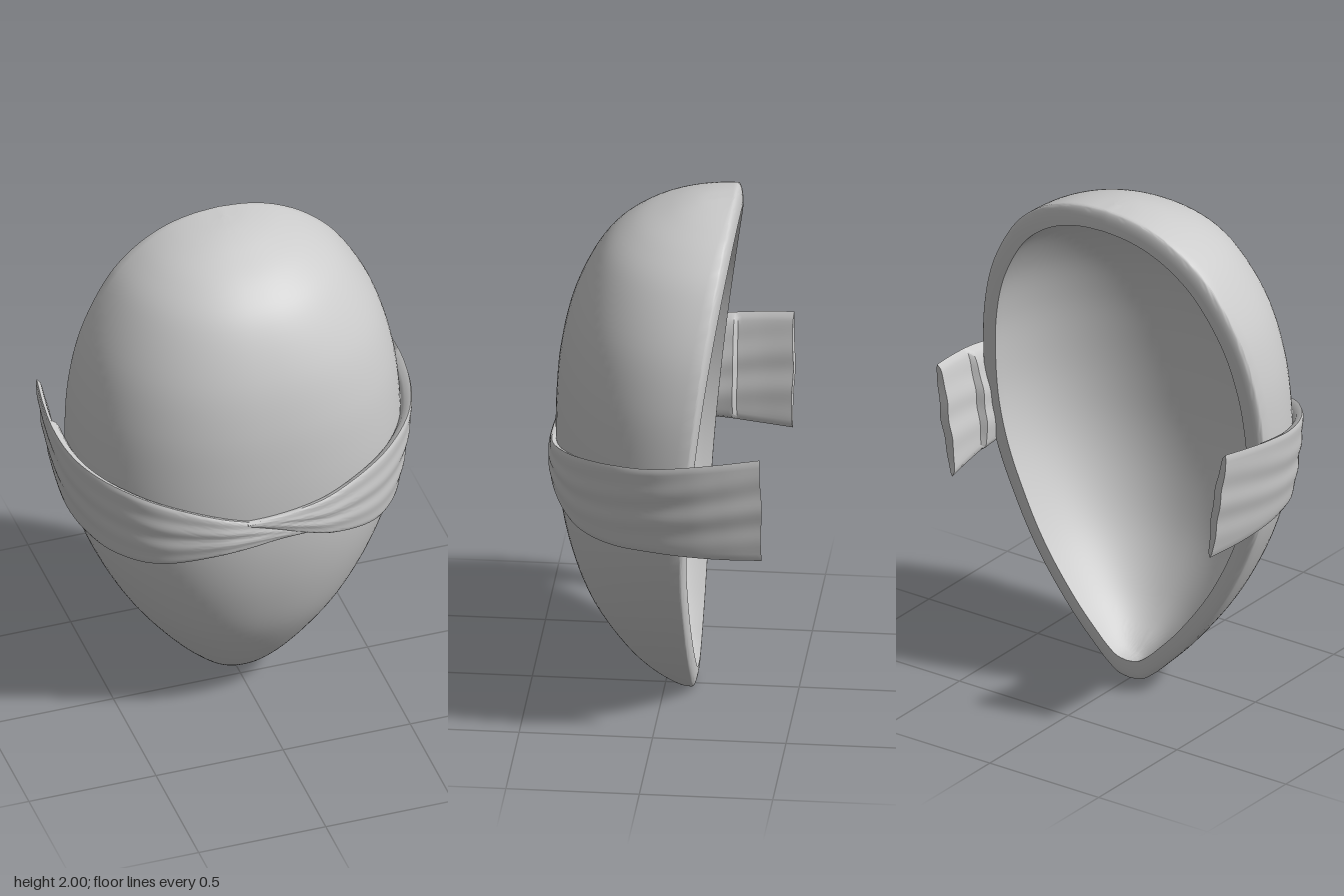
import * as THREE from 'three';
import { toCreasedNormals } from 'three/addons/utils/BufferGeometryUtils.js';

const V = (x, y, z) => new THREE.Vector3(x, y, z);

// Skin a list of closed loops into one mesh
function loft(name, rows, crease) {
  const n = rows[0].length, index = [];
  for (let i = 0; i < rows.length - 1; i++) {
    for (let j = 0; j < n; j++) {
      const a = i * n + j, b = i * n + (j + 1) % n;
      index.push(a, a + n, b, b, a + n, b + n);
    }
  }
  const geo = new THREE.BufferGeometry().setFromPoints(rows.flat());
  geo.setIndex(index);
  const mesh = new THREE.Mesh(toCreasedNormals(geo, crease),
    new THREE.MeshStandardMaterial({ color: 0xcccccc, side: THREE.DoubleSide }));
  mesh.name = name;
  return mesh;
}

// Hollow face shell: slightly squared half-oval sections, rim rolled over to a crisp inner edge
function faceShell() {
  // half width, height, front depth
  const profile = new THREE.CatmullRomCurve3([
    [0, 0, -0.085], [0.05, 0.008, -0.05], [0.1, 0.04, 0], [0.165, 0.1, 0.075],
    [0.262, 0.2, 0.16], [0.415, 0.4, 0.28], [0.525, 0.6, 0.35], [0.602, 0.8, 0.39],
    [0.64, 1, 0.405], [0.643, 1.2, 0.405], [0.622, 1.4, 0.388], [0.565, 1.6, 0.34],
    [0.448, 1.8, 0.237], [0.34, 1.9, 0.125], [0.22, 1.963, -0.01], [0.11, 1.991, -0.11],
    [0, 2, -0.2],
  ].map(p => V(...p)));
  const rimZ = y => -0.103 - 0.152 * Math.max(0, (y - 0.6) / 1.4) ** 1.5;
  const full = c => Math.sign(c) * Math.abs(c) ** 0.93;
  const ROWS = 90, ARC = 48, RIM = 8, ROLL = 0.022, rows = [];
  for (let i = 0; i <= ROWS; i++) {
    const { x: w, y, z: front } = profile.getPoint(i / ROWS);
    const back = rimZ(y), depth = front - back;
    const outer = a => V(w * full(Math.cos(a)), y, back + depth * full(Math.sin(a)));
    const inner = a => V(0.89 * w * full(Math.cos(a)), 1 + (y - 1) * 0.92,
      back - ROLL + (0.875 * depth + ROLL) * full(Math.sin(a)));
    const rim = (from, to) => {
      const pts = [];
      for (let k = 1; k < RIM; k++) {
        const a = Math.PI / 2 * k / RIM;
        const p = from.clone().lerp(to, 1 - Math.cos(a));
        p.z = back - ROLL * Math.sin(a);
        pts.push(p);
      }
      return pts;
    };
    const arc = f => Array.from({ length: ARC + 1 },
      (_, j) => f(j === ARC ? Math.PI - 1e-9 : Math.PI * j / ARC));
    const out = arc(outer), inn = arc(inner).reverse();
    rows.push([...out, ...rim(out[ARC], inn[0]), ...inn, ...rim(out[0], inn[ARC]).reverse()]);
  }
  return loft('faceShell', rows, 0.75);
}

// One half of the cloth band, from its tucked tip at the front to the loose end
function clothBand(name, side, stations) {
  const path = new THREE.CatmullRomCurve3(stations.map(s => V(s[0], 0, s[1])));
  const edges = new THREE.CatmullRomCurve3(stations.map(s => V(s[0], s[2], s[3])));
  const STEPS = 90, ACROSS = 28, EDGE = 0.012, rows = [];
  const row = (t, closed) => {
    const p = path.getPoint(t), d = path.getTangent(t), e = edges.getPoint(t);
    // padded against the shell, thinner on the loose end
    const thick = p.z > -0.2 ? 0.045 + 0.02 * t : 0.035, loop = [];
    const point = (v, inside) => {
      const body = closed ? 0 : Math.sin(Math.PI * v) ** 0.35;
      // soft folds running along the cloth
      const fold = 0.003 * Math.min(1, t * 4) * Math.sin(v * 19 + 2.5 * Math.sin(t * 4))
        * Math.sin(Math.PI * v);
      const off = fold - (inside ? EDGE + (thick - EDGE) * body : EDGE * (1 - body));
      const y = e.z + (e.y - e.z) * v;
      const lean = 1 + 0.25 * (y - 1);
      const fray = 0.003 * Math.sin(v * 9) * t ** 8;
      return V(side * (p.x - d.z * off) * lean, y, p.z + d.x * off + fray);
    };
    for (let j = 0; j <= ACROSS; j++) loop.push(point(j / ACROSS, false));
    for (let j = ACROSS - 1; j > 0; j--) loop.push(point(j / ACROSS, true));
    return loop;
  };
  rows.push(row(0, true));
  for (let i = 0; i <= STEPS; i++) rows.push(row(i / STEPS, false));
  rows.push(row(1, true));
  if (side < 0) rows.reverse();
  return loft(name, rows, 0.8);
}

export function createModel() {
  const group = new THREE.Group();
  group.name = 'maskWithBand';
  group.add(faceShell());

  // Shared wrap round the side: x, z, top edge, bottom edge
  const wrap = [
    [0.405, 0.338, 1.115, 0.84], [0.51, 0.26, 1.145, 0.82], [0.605, 0.135, 1.17, 0.814],
    [0.654, -0.01, 1.185, 0.814], [0.667, -0.15, 1.205, 0.806], [0.658, -0.28, 1.22, 0.797],
    [0.637, -0.42, 1.235, 0.79],
  ];
  group.add(clothBand('leftBand', 1, [
    [-0.11, 0.423, 1.025, 1.01], [0, 0.428, 1.033, 0.975], [0.1, 0.427, 1.045, 0.937],
    [0.22, 0.411, 1.065, 0.892], ...wrap]));
  group.add(clothBand('rightBand', -1, [
    [-0.15, 0.414, 0.932, 0.922], [0, 0.422, 0.985, 0.918], [0.1, 0.424, 1.025, 0.905],
    [0.22, 0.41, 1.06, 0.886], ...wrap]));
  return group;
}
